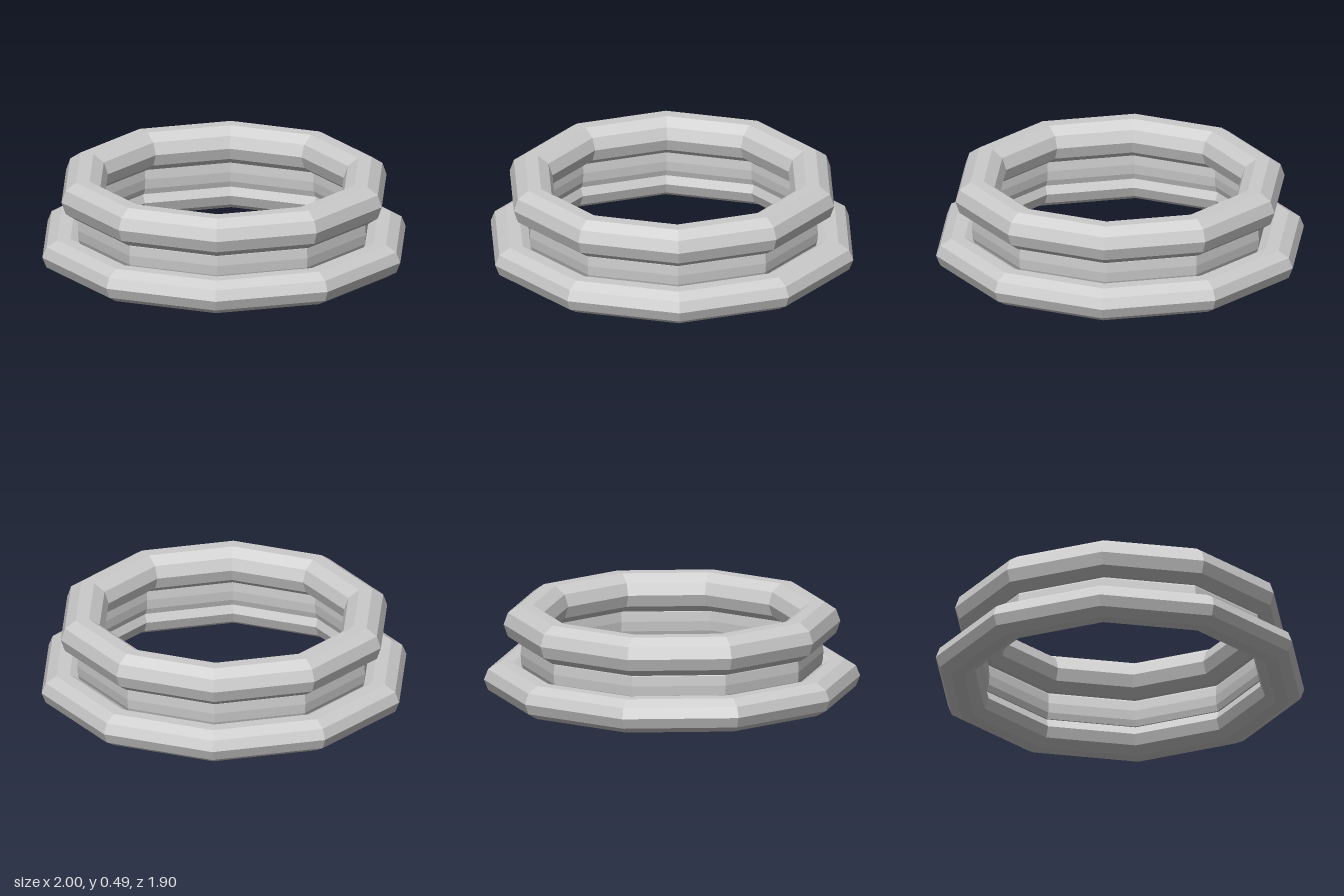
import * as THREE from 'three';

const SIDES = 10;

// Ten-sided ring with a ten-sided oval cross-section
function ring(name, radius, y, halfWidth, halfHeight, material) {
  const profile = [];
  for (let i = 0; i <= SIDES; i++) {
    const a = (i / SIDES) * Math.PI * 2;
    profile.push(new THREE.Vector2(radius + halfWidth * Math.cos(a), y + halfHeight * Math.sin(a)));
  }
  // start at +x so a corner points to each side
  const geometry = new THREE.LatheGeometry(profile, SIDES, Math.PI / 2);
  const mesh = new THREE.Mesh(geometry, material);
  mesh.name = name;
  return mesh;
}

export function createModel() {
  const group = new THREE.Group();
  group.name = 'ringBase';
  const material = new THREE.MeshStandardMaterial({ color: 0xcccccc, flatShading: true });

  group.add(
    ring('lowerRing', 0.882, 0.091, 0.118, 0.0955, material),
    // thin wall joining the two rings
    ring('neck', 0.782, 0.225, 0.023, 0.09, material),
    ring('upperRing', 0.777, 0.39, 0.118, 0.11, material)
  );
  return group;
}
